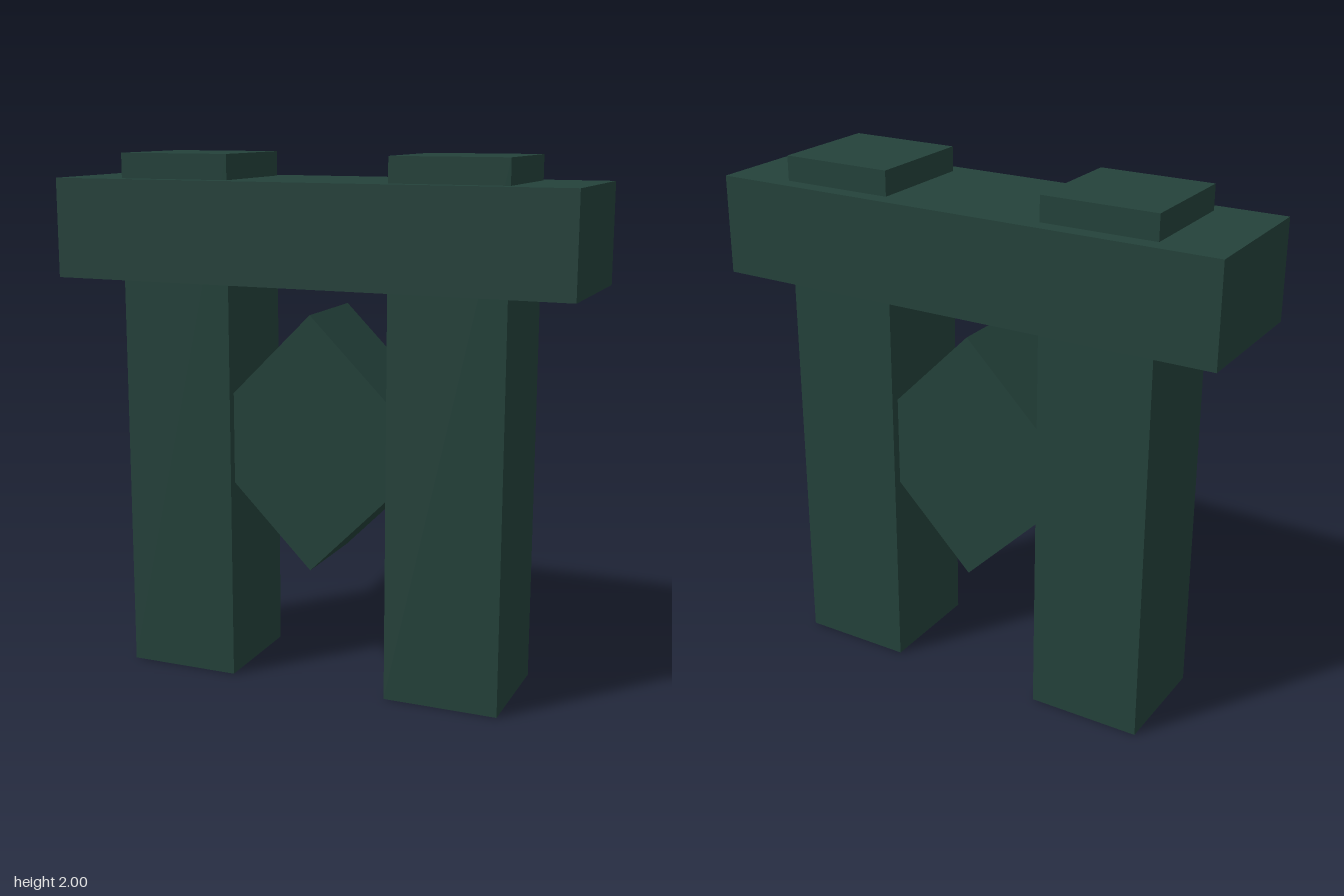
import * as THREE from 'three';

export function createModel() {
  const model = new THREE.Group();
  model.name = 'gate';
  const darkGreen = new THREE.MeshStandardMaterial({ color: 0x24423b });
  darkGreen.name = 'darkGreen';

  const addBox = (name, size, position) => {
    const mesh = new THREE.Mesh(new THREE.BoxGeometry(...size), darkGreen);
    mesh.name = name;
    mesh.position.set(...position);
    model.add(mesh);
    return mesh;
  };

  // Two square pillars whose tops poke through the beam
  for (const [name, side] of [['leftPillar', 1], ['rightPillar', -1]]) {
    addBox(name, [0.4375, 2, 0.4375], [side * 0.53125, 1, 0]);
  }

  // Wide crossbeam
  addBox('crossbeam', [2, 0.375, 0.5625], [0, 1.71875, 0]);

  // Block turned on its corner, wedged between the pillars
  const diamond = addBox('diamondBlock', [0.6875, 0.6875, 0.37], [0, 0.94, 0]);
  diamond.rotation.z = Math.PI / 4;

  return model;
}
